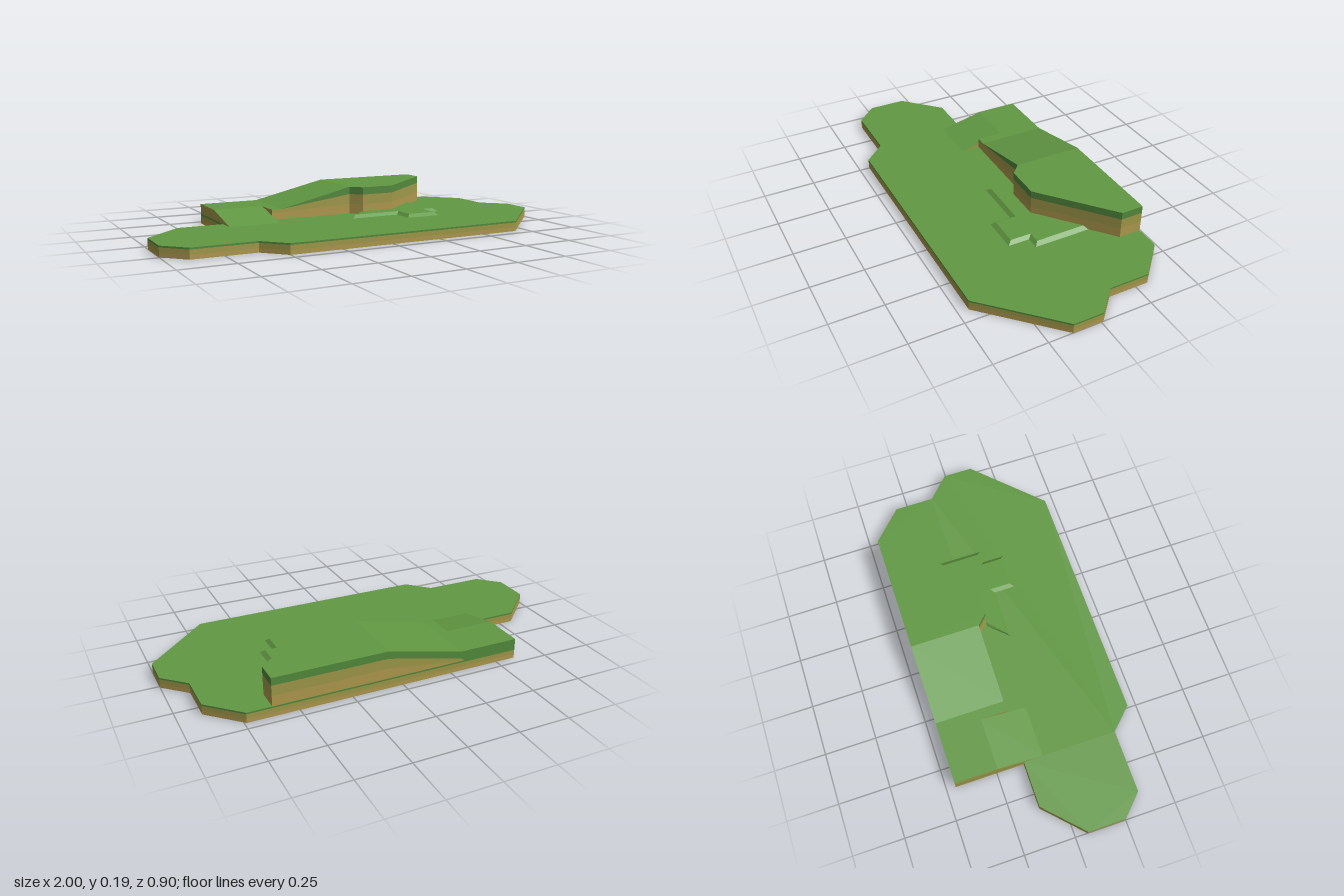
import * as THREE from 'three';

const mat = (name, color) => new THREE.MeshStandardMaterial({ name, color, side: THREE.DoubleSide });

export function createModel() {
  const group = new THREE.Group();
  const grass = mat('grass', 0x619943);
  const turf = mat('turfEdge', 0x528a3c);
  const olive = mat('oliveEarth', 0x9f9849);
  const tan = mat('tanEarth', 0xae994c);

  const addMesh = (name, geometry, material) => {
    const mesh = new THREE.Mesh(geometry, material);
    mesh.name = name;
    group.add(mesh);
  };

  // Flat polygon of [x, z] points lying at height y
  const flat = (name, points, y, material, down = false) => {
    const shape = new THREE.Shape(points.map(([x, z]) => new THREE.Vector2(x, down ? z : -z)));
    const geo = new THREE.ShapeGeometry(shape);
    geo.rotateX(down ? Math.PI / 2 : -Math.PI / 2);
    geo.translate(0, y, 0);
    addMesh(name, geo, material);
  };

  // Flat-shaded strip of quads between two rows of [x, y, z] points
  const strip = (name, low, high, material) => {
    const pos = [];
    for (let i = 0; i < low.length - 1; i++) {
      const [a, b, c, d] = [low[i], low[i + 1], high[i + 1], high[i]];
      pos.push(...a, ...b, ...c, ...a, ...c, ...d);
    }
    const geo = new THREE.BufferGeometry();
    geo.setAttribute('position', new THREE.Float32BufferAttribute(pos, 3));
    geo.computeVertexNormals();
    addMesh(name, geo, material);
  };

  // Wall with tan, olive and turf layers; stations are [x, z, y0, y1, y2, y3]
  const layeredWall = (name, stations) => {
    [tan, olive, turf].forEach((material, k) => {
      const row = (j) => stations.map((s) => [s[0], s[2 + j], s[1]]);
      strip(name + ['Lower', 'Middle', 'Upper'][k], row(k), row(k + 1), material);
    });
  };

  // Ground slab, outline running anticlockwise seen from above
  const outline = [
    [-1, 0.06], [-1, 0.245], [-0.9, 0.345], [-0.6, 0.345], [-0.5, 0.45], [0.685, 0.45],
    [1, 0.135], [1, -0.01], [0.89, -0.115], [0.89, -0.31], [0.74, -0.455],
    [-0.6, -0.455], [-0.6, -0.115], [-0.82, -0.115],
  ];
  flat('groundTop', outline, 0.05, grass);
  flat('groundUnderside', outline, 0, tan, true);
  layeredWall('groundEdge', [...outline, outline[0]].map(([x, z]) => [x, z, 0, 0.02, 0.042, 0.05]));

  // Plateau: high top, sloping middle and low shelf
  const H = 0.187, L = 0.1, back = -0.455;
  flat('plateauTop', [
    [0.075, back], [0.075, -0.115], [0.125, -0.065], [0.295, -0.065], [0.625, -0.345], [0.625, back],
  ], H, grass);
  strip('plateauSlope', [[-0.3, L, -0.115], [0.075, H, -0.115]], [[-0.3, L, back], [0.075, H, back]], grass);
  flat('lowShelf', [
    [-0.6, back], [-0.6, -0.245], [-0.35, -0.245], [-0.35, -0.115], [-0.3, -0.115], [-0.3, back],
  ], L, grass);

  // Ramp from the low shelf down to the ground
  strip('ramp', [[-0.6, 0.05, -0.02], [-0.35, 0.05, -0.02]], [[-0.6, L, -0.245], [-0.35, L, -0.245]], grass);
  strip('rampSide', [[-0.35, 0.05, -0.02], [-0.35, 0.05, -0.245]], [[-0.35, 0.05, -0.02], [-0.35, L, -0.245]], olive);
  strip('shelfCut', [[-0.35, 0.05, -0.245], [-0.35, 0.05, -0.115]], [[-0.35, L, -0.245], [-0.35, L, -0.115]], olive);
  strip('shelfEnd', [[-0.6, 0.05, back], [-0.6, 0.05, -0.245], [-0.6, 0.05, -0.02]],
    [[-0.6, L, back], [-0.6, L, -0.245], [-0.6, 0.05, -0.02]], olive);

  // Cliff faces
  const full = [0.05, 0.1, 0.15, H];
  layeredWall('cliffFront', [
    [-0.35, -0.115, 0.05, 0.085, L, L], [-0.3, -0.115, 0.05, 0.085, L, L],
    ...[[0.075, -0.115], [0.125, -0.065], [0.295, -0.065], [0.625, -0.345], [0.625, back]].map((p) => [...p, ...full]),
  ]);
  layeredWall('cliffBack', [
    [0.625, back, ...full], [0.075, back, ...full],
    [-0.3, back, 0.05, 0.05, 0.065, L], [-0.32, back, 0.05, 0.05, 0.05, L], [-0.6, back, 0.05, 0.05, 0.05, L],
  ]);

  // Low terrace at the foot of the cliff, with a sloped rim and a square step
  const foot = [
    [0.11, -0.065], [0.02, 0.03], [0.27, 0.03], [0.27, 0.135], [0.45, 0.135], [0.45, 0.03], [0.512, 0.03], [0.512, -0.25],
  ];
  const rim = [
    [0.125, -0.065], [0.04, 0.012], [0.288, 0.012], [0.288, 0.115], [0.433, 0.115], [0.433, 0.012], [0.492, 0.012], [0.492, -0.233],
  ];
  strip('terraceRim', foot.map(([x, z]) => [x, 0.05, z]), rim.map(([x, z]) => [x, 0.065, z]), grass);
  flat('terraceTop', [...rim, [0.295, -0.065]], 0.065, grass);

  return group;
}
